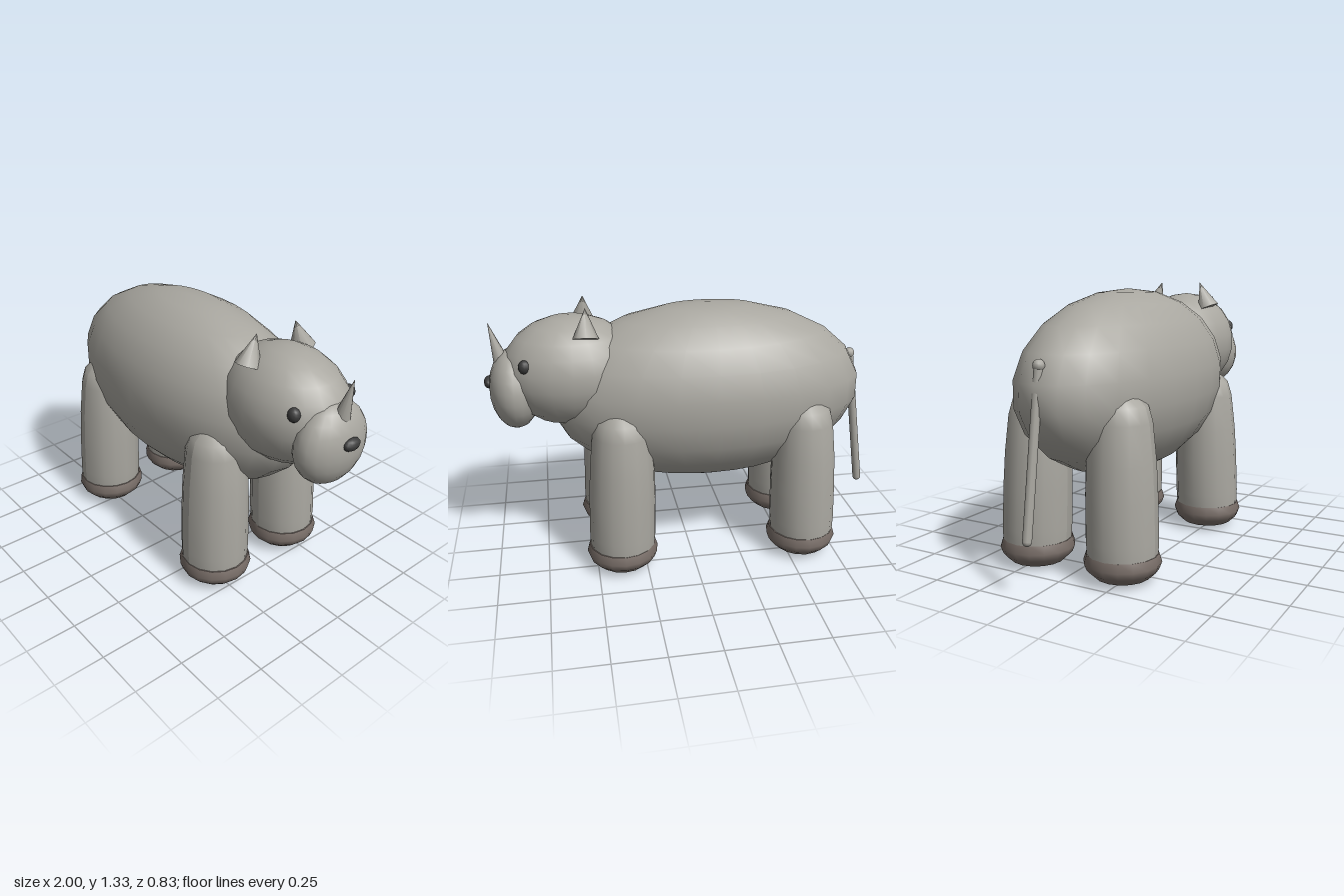
import * as THREE from 'three';

const grey = new THREE.MeshStandardMaterial({ name: 'greyHide', color: 0xa9a7a0 });
const brown = new THREE.MeshStandardMaterial({ name: 'brownHoof', color: 0x7b706a });
const dark = new THREE.MeshStandardMaterial({ name: 'darkEye', color: 0x3c3c3c });

export function createModel() {
  const model = new THREE.Group();
  model.name = 'rhinoceros';

  const add = (name, geometry, material) => {
    const mesh = new THREE.Mesh(geometry, material);
    mesh.name = name;
    model.add(mesh);
    return mesh;
  };

  // Ellipsoid given by its centre and radii
  const ellipsoid = (name, center, radii, material, w = 20, h = 11) =>
    add(name, new THREE.SphereGeometry(1, w, h).scale(...radii).translate(...center), material);

  // Cone running from the middle of its base to its tip
  const spike = (name, base, tip, radius, sides) => {
    const a = new THREE.Vector3(...base), b = new THREE.Vector3(...tip);
    const axis = b.clone().sub(a), length = axis.length();
    const mesh = add(name, new THREE.ConeGeometry(radius, length, sides), grey);
    mesh.position.copy(a).add(b).multiplyScalar(0.5);
    mesh.quaternion.setFromUnitVectors(new THREE.Vector3(0, 1, 0), axis.normalize());
    return mesh;
  };

  // Torso, head and muzzle
  ellipsoid('body', [-0.11, 0.855, 0], [0.805, 0.455, 0.388], grey, 24);
  ellipsoid('head', [0.57, 1.0, 0], [0.34, 0.275, 0.26], grey);
  ellipsoid('muzzle', [0.85, 0.92, 0], [0.125, 0.2, 0.197], grey);
  ellipsoid('nose', [0.97, 0.957, 0], [0.027, 0.03, 0.048], dark, 12, 8);
  spike('horn', [0.905, 1.06, 0], [0.952, 1.255, 0], 0.038, 10);

  // Eyes and ears
  for (const side of [1, -1]) {
    const label = side > 0 ? 'left' : 'right';
    ellipsoid(label + 'Eye', [0.79, 1.08, 0.17 * side], [0.03, 0.034, 0.029], dark, 12, 8);
    spike(label + 'Ear', [0.5, 1.2, 0.168 * side], [0.495, 1.335, 0.117 * side], 0.062, 8);
  }

  // Leg profile: ankle band, tapering sleeve and rounded shoulder
  const legProfile = [[0.165, 0.13], [0.168, 0.2], [0.166, 0.4], [0.16, 0.56], [0.145, 0.735],
    [0.126, 0.807], [0.073, 0.86], [0, 0.88]].map(p => new THREE.Vector2(...p));
  const hoofProfile = [[0, 0.003], [0.08, 0.008], [0.13, 0.024], [0.168, 0.06], [0.181, 0.095],
    [0.168, 0.135], [0.168, 0.135], [0, 0.136]].map(p => new THREE.Vector2(...p));

  for (const [row, x, inward] of [['front', 0.37, -1], ['back', -0.58, 1]]) {
    for (const side of [1, -1]) {
      const name = row + (side > 0 ? 'Left' : 'Right');
      const leg = new THREE.LatheGeometry(legProfile, 16);
      // Lean each leg slightly towards the body
      const pos = leg.attributes.position;
      for (let i = 0; i < pos.count; i++) {
        const lean = 0.025 * (pos.getY(i) - 0.13);
        pos.setX(i, pos.getX(i) + lean * inward);
        pos.setZ(i, pos.getZ(i) - lean * side);
      }
      leg.computeVertexNormals();
      add(name + 'Leg', leg, grey).position.set(x - 0.003, 0, 0.236 * side);
      add(name + 'Hoof', new THREE.LatheGeometry(hoofProfile, 16), brown).position.set(x, 0, 0.236 * side);
    }
  }

  // Hanging tail with rounded ends
  const top = new THREE.Vector3(-0.868, 1.0, 0), end = new THREE.Vector3(-0.978, 0.264, 0);
  const dir = top.clone().sub(end);
  const tail = add('tail', new THREE.CapsuleGeometry(0.022, dir.length(), 4, 10), grey);
  tail.position.copy(top).add(end).multiplyScalar(0.5);
  tail.quaternion.setFromUnitVectors(new THREE.Vector3(0, 1, 0), dir.normalize());
  ellipsoid('tailRoot', [-0.868, 1.0, 0], [0.028, 0.028, 0.028], grey, 10, 8);

  return model;
}
